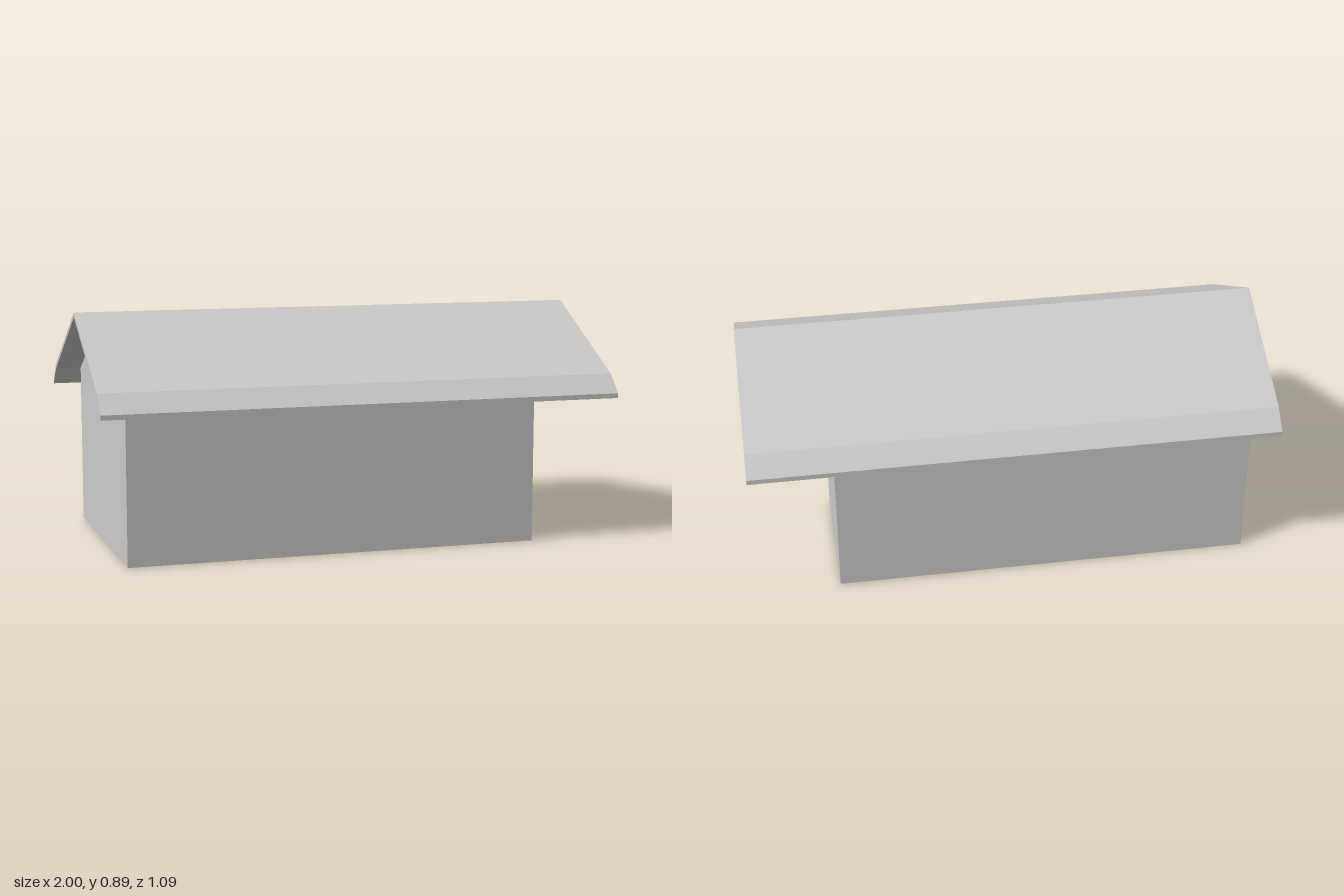
import * as THREE from 'three';

const HALF_DEPTH = 0.475, EAVE = 0.62, RIDGE = 0.868, WALL = 0.02;
const LEFT_X = -0.9, RIGHT_X = 0.68;
const DOOR = { front: 0.355, back: 0.05, height: 0.51 };

const material = new THREE.MeshStandardMaterial({ color: 0xcccccc, flatShading: true });

// Extrude a [z, y] profile along x, from x0 to x1
function extrudeAlongX(name, profile, x0, x1) {
  const shape = new THREE.Shape(profile.map(([z, y]) => new THREE.Vector2(-z, y)));
  const geometry = new THREE.ExtrudeGeometry(shape, { depth: x1 - x0, bevelEnabled: false });
  geometry.rotateY(Math.PI / 2).translate(x0, 0, 0);
  const mesh = new THREE.Mesh(geometry, material);
  mesh.name = name;
  return mesh;
}

export function createModel() {
  const group = new THREE.Group();
  group.name = 'shed';

  // Gable end walls; the right one has a doorway open to the ground
  const gableTop = [[-HALF_DEPTH, 0], [-HALF_DEPTH, EAVE], [0, RIDGE], [HALF_DEPTH, EAVE], [HALF_DEPTH, 0]];
  const doorway = [[DOOR.front, 0], [DOOR.front, DOOR.height], [DOOR.back, DOOR.height], [DOOR.back, 0]];
  group.add(extrudeAlongX('leftGableWall', gableTop, LEFT_X, LEFT_X + WALL));
  group.add(extrudeAlongX('rightGableWall', [...gableTop, ...doorway], RIGHT_X - WALL, RIGHT_X));

  // Long walls between the gables, tops sloped to meet the roof
  const innerTop = EAVE + WALL * (RIDGE - EAVE) / HALF_DEPTH;
  for (const [name, side] of [['frontWall', 1], ['backWall', -1]]) {
    const outer = side * HALF_DEPTH, inner = side * (HALF_DEPTH - WALL);
    const profile = [[outer, 0], [outer, EAVE], [inner, innerTop], [inner, 0]];
    group.add(extrudeAlongX(name, profile, LEFT_X + WALL, RIGHT_X - WALL));
  }

  // Thin pitched roof with steeper flared eaves
  const underside = [[-0.543, 0.551], [-HALF_DEPTH, EAVE], [0, RIDGE], [HALF_DEPTH, EAVE], [0.543, 0.551]];
  const topside = underside.map(([z, y]) => [z, y + 0.018]).reverse();
  group.add(extrudeAlongX('roof', [...underside, ...topside], -1, 1));

  return group;
}
